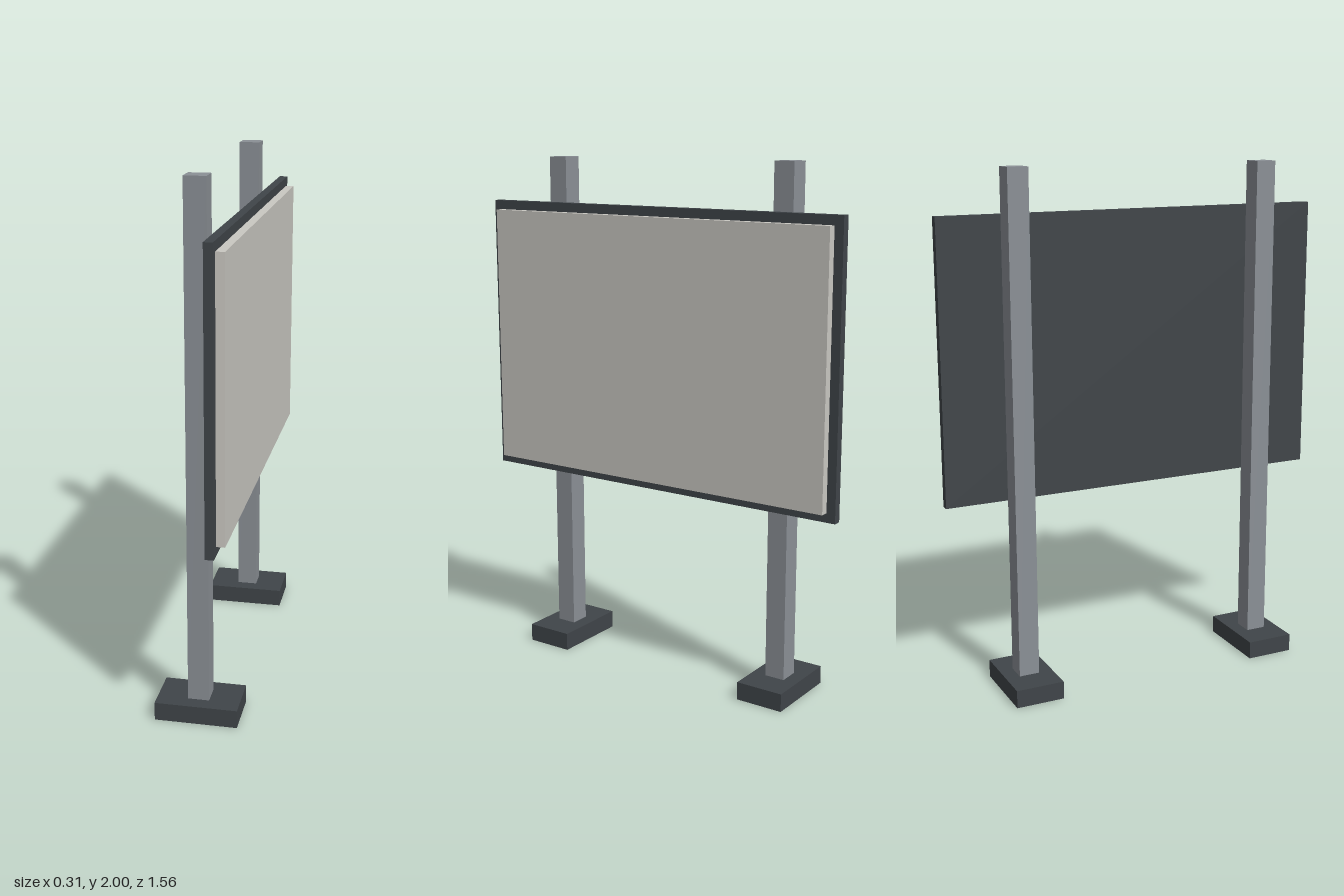
import * as THREE from 'three';

const material = (name, color) => {
  const m = new THREE.MeshStandardMaterial({ color });
  m.name = name;
  return m;
};

export function createModel() {
  const darkMetal = material('darkMetal', 0x404549);
  const greyMetal = material('greyMetal', 0x8b9096);
  const paleBoard = material('paleBoard', 0xcac8c2);

  const model = new THREE.Group();
  model.name = 'billboard';

  // Box given by its size and centre
  const addBox = (name, mat, [w, h, d], [x, y, z]) => {
    const mesh = new THREE.Mesh(new THREE.BoxGeometry(w, h, d), mat);
    mesh.name = name;
    mesh.position.set(x, y, z);
    model.add(mesh);
  };

  // Two square posts, each on a flat footing
  for (const [side, s] of [['front', 1], ['back', -1]]) {
    addBox(side + 'Footing', darkMetal, [0.31, 0.07, 0.19], [0, 0.035, s * 0.508]);
    addBox(side + 'Post', greyMetal, [0.08, 1.99, 0.08], [0, 1.005, s * 0.508]);
  }

  // Backing panel and the display board on its left face
  addBox('backingPanel', darkMetal, [0.032, 1.08, 1.56], [0.092, 1.287, 0]);
  addBox('displayBoard', paleBoard, [0.032, 1.01, 1.49], [0.124, 1.287, 0]);

  return model;
}
